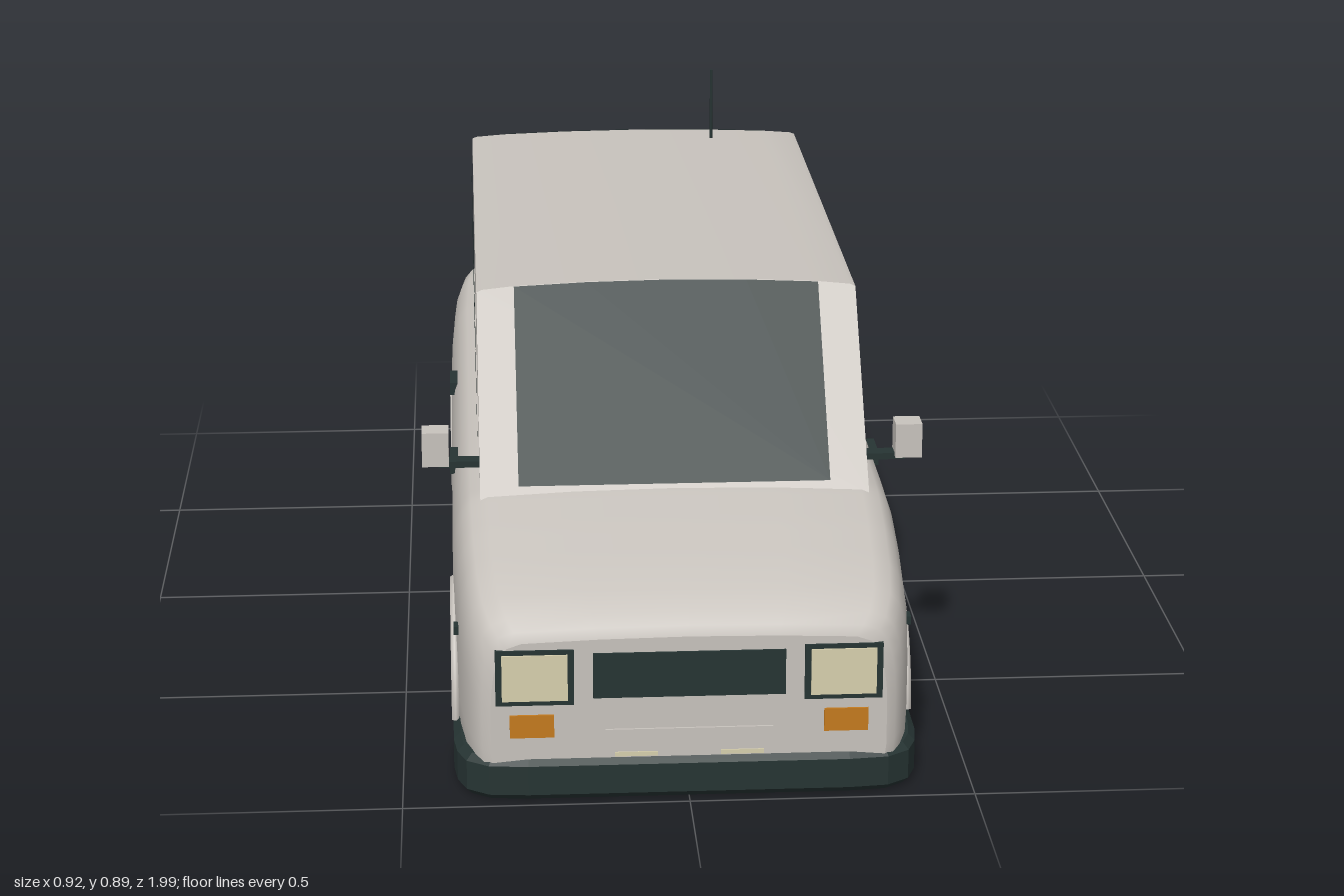
import * as THREE from 'three';
import { toCreasedNormals } from 'three/addons/utils/BufferGeometryUtils.js';

const mat = (name, color, side = THREE.FrontSide) =>
  Object.assign(new THREE.MeshStandardMaterial({ color, side }), { name });

export function createModel() {
  const paint = mat('body paint', 0xc8c3bd, THREE.DoubleSide);
  const dark = mat('dark trim', 0x263433, THREE.DoubleSide);
  const lens = mat('headlight lens', 0xd8d0ae);
  const amber = mat('amber lens', 0xc47a1e);
  const red = mat('red lens', 0xa00c2a);

  const car = new THREE.Group();
  car.name = 'van';
  const add = (name, geo, material, x = 0, y = 0, z = 0) => {
    const m = new THREE.Mesh(geo, material);
    m.name = name;
    m.position.set(x, y, z);
    car.add(m);
    return m;
  };
  // box given by its limits on each axis
  const box = (name, material, x0, x1, y0, y1, z0, z1) =>
    add(name, new THREE.BoxGeometry(Math.abs(x1 - x0), y1 - y0, Math.abs(z1 - z0)), material,
      (x0 + x1) / 2, (y0 + y1) / 2, (z0 + z1) / 2);
  const shapeOf = (pts) => new THREE.Shape(pts.map(([x, y]) => new THREE.Vector2(x, y)));

  // ---- lower body: cross-sections lofted from nose to tail ----
  // z, half width, top height
  const plan = [
    [0.975, 0.345, 0.3], [0.968, 0.36, 0.318], [0.95, 0.374, 0.335], [0.9, 0.389, 0.358],
    [0.82, 0.398, 0.38], [0.7, 0.404, 0.405], [0.57, 0.407, 0.428], [0.4, 0.408, 0.431],
    [-0.6, 0.408, 0.431], [-0.82, 0.402, 0.43], [-0.9, 0.393, 0.428], [-0.945, 0.378, 0.421],
    [-0.965, 0.362, 0.405], [-0.973, 0.348, 0.39],
  ];
  const at = (z, k) => {
    let i = 0;
    while (i < plan.length - 2 && plan[i + 1][0] > z) i++;
    const a = plan[i], b = plan[i + 1];
    return a[k] + (b[k] - a[k]) * (z - a[0]) / (b[0] - a[0]);
  };
  const arches = [0.605, -0.603], R = 0.175, hubY = 0.072, sillY = 0.015;

  const stations = plan.map((p) => p[0])
    .filter((z) => arches.every((c) => Math.abs(z - c) > R)).map((z) => [z, sillY]);
  for (const c of arches) {
    stations.push([c + R + 0.0001, sillY], [c - R - 0.0001, sillY]);
    for (let k = 0; k <= 24; k++) {
      const a = (k / 24) * Math.PI;
      stations.push([c + R * Math.cos(a), hubY + R * Math.sin(a)]);
    }
  }
  stations.sort((a, b) => b[0] - a[0]);

  // width fraction and depth below the top, from the flank to the centreline
  const shoulder = [[1, 0.14], [0.995, 0.1], [0.982, 0.065], [0.955, 0.035], [0.915, 0.016],
    [0.84, 0.007], [0.45, 0.002], [0, 0]];
  const section = ([z, yb]) => {
    const w = at(z, 1), top = at(z, 2), half = [];
    for (const t of [0, 0.2, 0.5, 0.75]) {
      const y = yb + (top - 0.14 - yb) * t;
      half.push([w * (0.965 + 0.035 * Math.min(1, (y - sillY) / 0.05)), y]);
    }
    for (const [f, d] of shoulder) half.push([w * f, top - d]);
    return half.concat(half.slice(0, -1).reverse().map(([x, y]) => [-x, y]));
  };
  const sections = stations.map(section), n = sections[0].length;
  const pos = [], index = [];
  sections.forEach((s, i) => s.forEach(([x, y], j) => {
    pos.push(x, y, stations[i][0]);
    if (i < sections.length - 1 && j < n - 1) {
      const a = i * n + j, b = a + n;
      index.push(a, b, a + 1, b, b + 1, a + 1);
    }
  }));
  const shell = new THREE.BufferGeometry();
  shell.setAttribute('position', new THREE.Float32BufferAttribute(pos, 3));
  shell.setIndex(index);
  add('bodyShell', toCreasedNormals(shell, 0.7), paint);
  add('nosePanel', new THREE.ShapeGeometry(shapeOf(sections[0])), paint, 0, 0, 0.975);
  add('tailPanel', new THREE.ShapeGeometry(shapeOf(sections[sections.length - 1])).rotateY(Math.PI),
    paint, 0, 0, -0.973);
  add('floor', new THREE.PlaneGeometry(0.78, 1.88).rotateX(Math.PI / 2), dark, 0, 0.016, 0);

  // wheel tunnels and arch lips
  for (const c of arches) {
    add('wheelTunnel', new THREE.CylinderGeometry(R, R, 0.79, 32, 1, true, -0.3, Math.PI + 0.6)
      .rotateZ(Math.PI / 2), paint, 0, hubY, c);
    for (const s of [-1, 1]) {
      add('archLip', new THREE.TorusGeometry(R + 0.008, 0.008, 6, 32, Math.PI).rotateY(Math.PI / 2),
        paint, s * 0.406, hubY, c);
    }
  }

  // ---- cabin: roof section extruded, ends raked by height ----
  const rise = (y) => (y - 0.43) / 0.31;
  const zFront = (y) => 0.575 - 0.265 * rise(y);
  const zRear = (y) => -0.945 + 0.1 * rise(y);
  const move = (geo, rule) => {
    const p = geo.attributes.position;
    for (let i = 0; i < p.count; i++) p.setZ(i, rule(p.getY(i), p.getZ(i)));
    geo.computeVertexNormals();
    return geo;
  };
  const roofHalf = [[0.355, 0.727], [0.345, 0.731], [0.285, 0.736], [0.15, 0.741], [0, 0.743]];
  const roofLine = roofHalf.concat(roofHalf.slice(0, -1).reverse().map(([x, y]) => [-x, y]));
  const cabin = new THREE.ExtrudeGeometry(shapeOf([[0.355, 0.412], ...roofLine, [-0.355, 0.412]]),
    { depth: 1, bevelEnabled: false });
  move(cabin, (y, t) => zRear(y) + (zFront(y) - zRear(y)) * t);
  add('cabin', toCreasedNormals(cabin, 0.3), paint);

  // windscreen and rear window
  const screen = shapeOf([[0.285, 0.434], ...roofLine.filter(([x]) => Math.abs(x) < 0.3), [-0.285, 0.434]]);
  add('windscreen', move(new THREE.ShapeGeometry(screen), (y) => zFront(y) + 0.003), dark);
  add('rearWindow', move(new THREE.ShapeGeometry(screen).rotateY(Math.PI), (y) => zRear(y) - 0.003), dark);

  // side windows, outlined in (z, y)
  const sideWindows = [
    [[0.46, 0.441], [0.457, 0.53], [0.315, 0.69], [-0.12, 0.69], [-0.12, 0.457], [0.31, 0.457]],
    [[-0.16, 0.457], [-0.16, 0.69], [-0.832, 0.69], [-0.832, 0.457]],
  ];
  for (const s of [-1, 1]) {
    for (const pts of sideWindows) {
      const outline = shapeOf(pts.map(([z, y]) => [-s * z, y]));
      add('sideWindow', new THREE.ShapeGeometry(outline).rotateY(s * Math.PI / 2), dark, s * 0.358, 0, 0);
    }
  }

  // ---- bumpers: bevelled plan outline ----
  const corner = [[0.398, 0.787], [0.398, 0.86], [0.392, 0.91], [0.378, 0.945], [0.345, 0.967], [0.28, 0.973]];
  const bumperShape = shapeOf(corner.concat([...corner].reverse().map(([x, y]) => [-x, y])));
  for (const [name, turn] of [['rearBumper', 0], ['frontBumper', Math.PI]]) {
    const geo = new THREE.ExtrudeGeometry(bumperShape,
      { depth: 0.054, bevelThickness: 0.012, bevelSize: 0.012, bevelSegments: 1 });
    add(name, geo.rotateX(-Math.PI / 2).rotateY(turn), dark, 0, 0.012, 0);
  }
  add('exhaust', new THREE.CylinderGeometry(0.014, 0.014, 0.06, 12).rotateX(Math.PI / 2), dark, 0.2, 0.042, -0.97);

  // ---- front and rear details ----
  box('grille', dark, -0.167, 0.167, 0.19, 0.273, 0.972, 0.979);
  box('frontPlate', paint, -0.146, 0.146, 0.088, 0.13, 0.972, 0.979);
  box('rearPlate', paint, -0.146, 0.146, 0.145, 0.19, -0.971, -0.979);
  for (const s of [-1, 1]) {
    box('headlightFrame', dark, s * 0.2, s * 0.336, 0.179, 0.281, 0.962, 0.979);
    box('headlight', lens, s * 0.211, s * 0.325, 0.188, 0.273, 0.976, 0.982);
    box('frontIndicator', amber, s * 0.235, s * 0.312, 0.118, 0.16, 0.972, 0.979);
    box('lowerLamp', lens, s * 0.055, s * 0.13, 0.079, 0.087, 0.972, 0.979);
    box('tailLightFrame', dark, s * 0.245, s * 0.338, 0.19, 0.342, -0.962, -0.977);
    box('tailLight', red, s * 0.252, s * 0.331, 0.198, 0.334, -0.975, -0.981);
    box('rearIndicator', amber, s * 0.255, s * 0.325, 0.12, 0.178, -0.971, -0.979);

    // handles, side markers and mirrors
    for (const z of [0.245, -0.226]) box('doorHandle', dark, s * 0.395, s * 0.411, 0.356, 0.382, z - 0.04, z + 0.04);
    for (const z of [0.795, -0.79]) box('sideMarker', dark, s * 0.393, s * 0.407, 0.243, 0.258, z - 0.013, z + 0.013);
    box('mirrorArm', dark, s * 0.35, s * 0.43, 0.449, 0.461, 0.48, 0.51);
    box('mirror', paint, s * 0.411, s * 0.46, 0.455, 0.52, 0.473, 0.52);
  }
  add('antenna', new THREE.CylinderGeometry(0.003, 0.003, 0.155, 8), dark, 0.165, 0.815, -0.77);
  return car;
}
